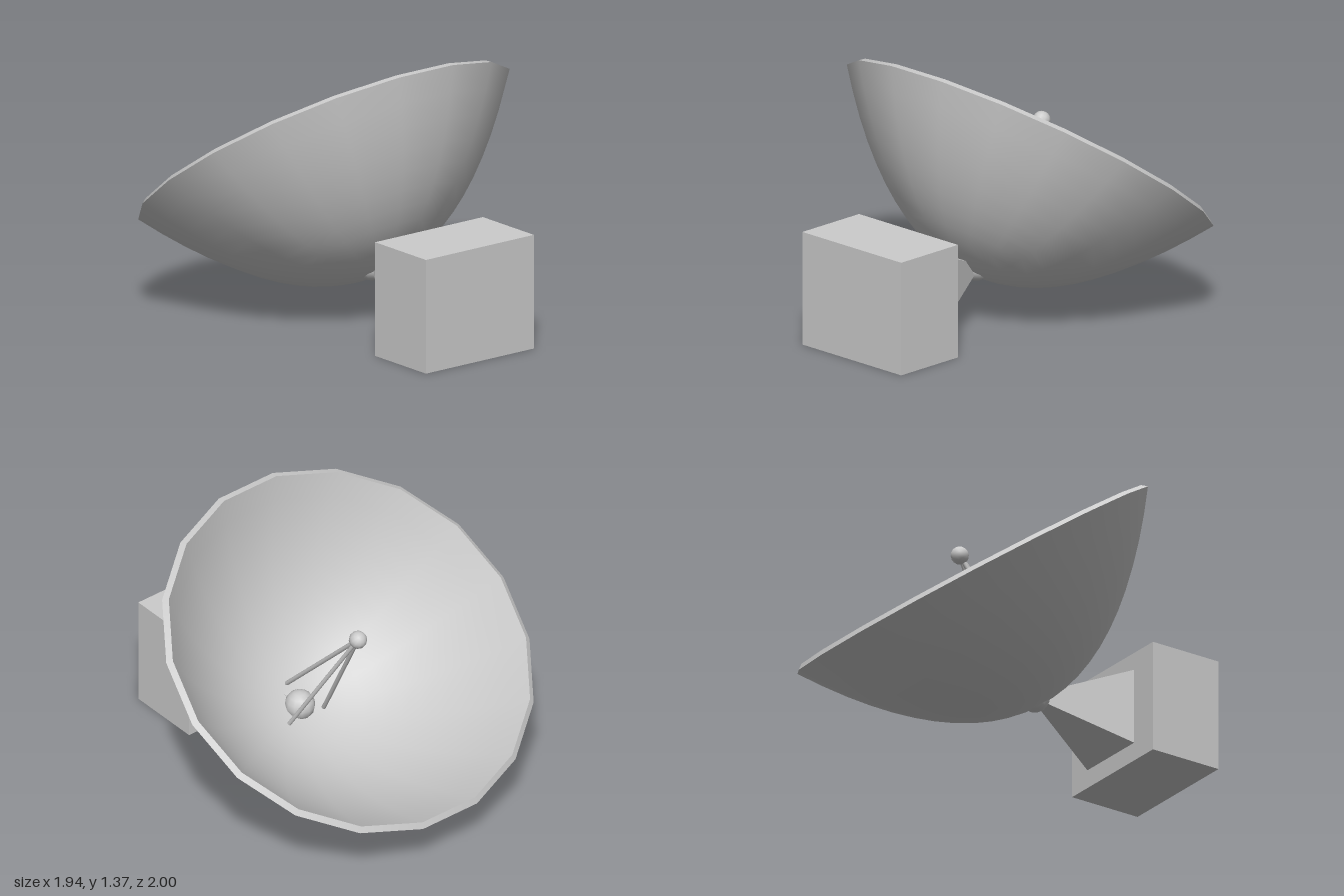
import * as THREE from 'three';

const grey = (opts = {}) => new THREE.MeshStandardMaterial({ color: 0xcccccc, ...opts });

function addMesh(parent, name, geometry, material) {
  const mesh = new THREE.Mesh(geometry, material);
  mesh.name = name;
  parent.add(mesh);
  return mesh;
}

// Parabolic profile from the centre out to the rim
function parabola(bottom, rimHeight, rimRadius, steps = 12) {
  const points = [];
  for (let i = 0; i <= steps; i++) {
    const t = i / steps;
    points.push(new THREE.Vector2(rimRadius * t, bottom + (rimHeight - bottom) * t * t));
  }
  return points;
}

export function createModel() {
  const model = new THREE.Group();
  model.name = 'satelliteDish';
  const smooth = grey();
  const flat = grey({ flatShading: true });

  // Base block and the four-sided neck reaching to the pivot
  addMesh(model, 'baseBlock', new THREE.BoxGeometry(0.675, 0.575, 0.39), flat)
    .position.set(-0.0175, 0.2875, 0.805);

  const neckLength = 0.48;
  const neckGeometry = new THREE.CylinderGeometry(0.005, 0.195 * Math.SQRT2, neckLength, 4)
    .rotateY(Math.PI / 4)
    .rotateX(-Math.PI / 2);
  addMesh(model, 'neck', neckGeometry, flat).position.set(-0.003, 0.29, 0.61 - neckLength / 2);

  addMesh(model, 'pivotBall', new THREE.SphereGeometry(0.076, 12, 8), smooth)
    .position.set(-0.003, 0.29, 0.157);

  // Tilted dish, origin at the centre of its outer rim
  const dish = new THREE.Group();
  dish.name = 'dish';
  dish.position.set(-0.003, 0.815, -0.2125);
  dish.rotation.x = THREE.MathUtils.degToRad(-35);
  model.add(dish);

  // Each shell surface is a separate lathe so the rim edges stay sharp
  const lathe = (points) => new THREE.LatheGeometry(points, 18, Math.PI / 18);
  const outer = parabola(-0.69, 0, 0.972);
  const inner = parabola(-0.655, 0.021, 0.945).reverse();
  addMesh(dish, 'dishBack', lathe(outer), smooth);
  addMesh(dish, 'dishBowl', lathe(inner), smooth);
  addMesh(dish, 'dishRim', lathe([outer[outer.length - 1], inner[0]]), smooth);

  // Receiver held by three struts standing in the bowl
  const receiver = new THREE.Vector3(0, 0.135, 0);
  addMesh(dish, 'receiver', new THREE.SphereGeometry(0.045, 12, 8), smooth).position.copy(receiver);

  for (let i = 0; i < 3; i++) {
    const a = (i * Math.PI * 2) / 3;
    const foot = new THREE.Vector3(0.125 * Math.sin(a), -0.648, 0.125 * Math.cos(a));
    const axis = receiver.clone().sub(foot);
    const strut = addMesh(dish, 'strut', new THREE.CylinderGeometry(0.011, 0.011, axis.length(), 8), smooth);
    strut.position.copy(foot).addScaledVector(axis, 0.5);
    strut.quaternion.setFromUnitVectors(new THREE.Vector3(0, 1, 0), axis.normalize());
  }

  return model;
}
